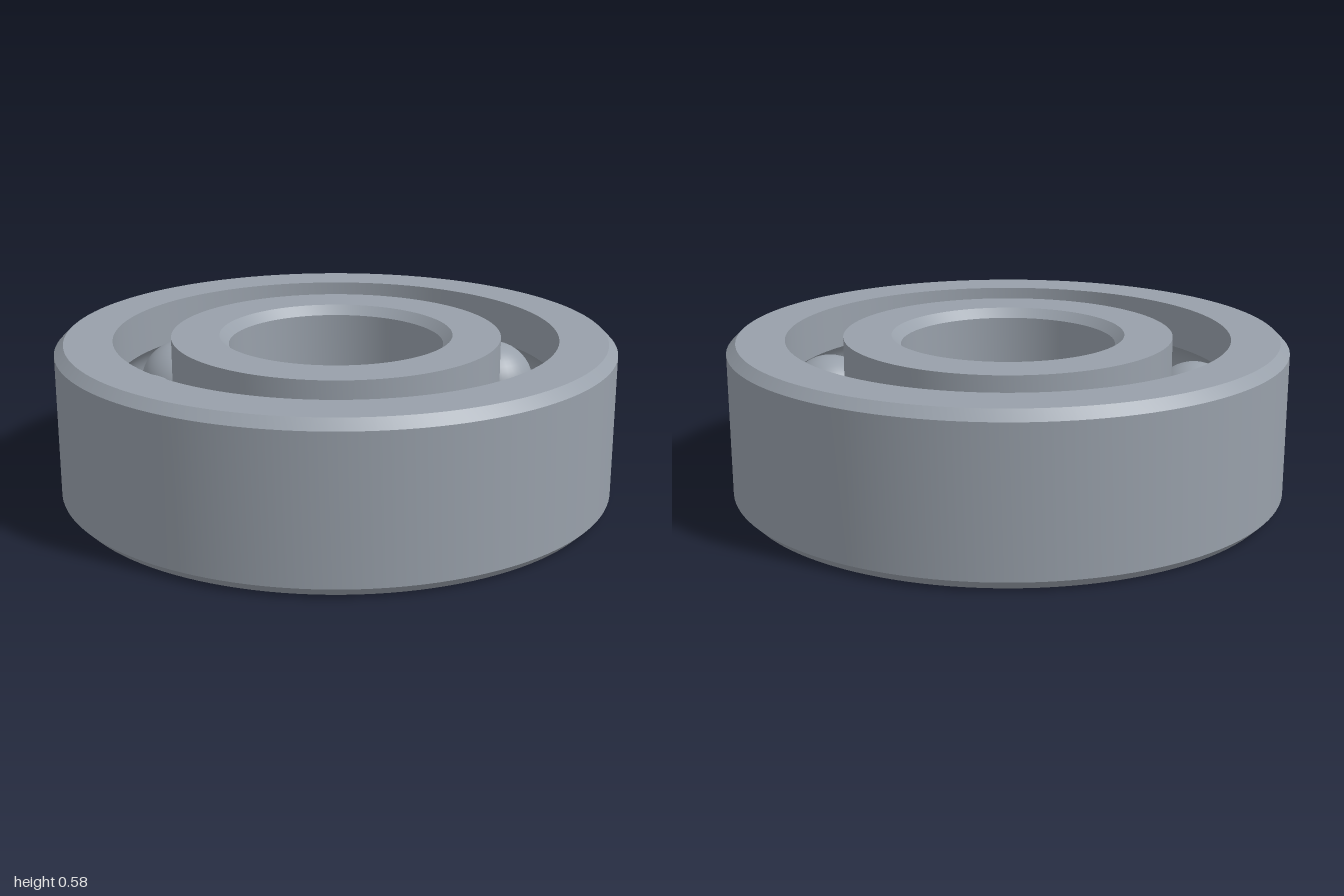
import * as THREE from 'three';
import { toCreasedNormals } from 'three/addons/utils/BufferGeometryUtils.js';

const HEIGHT = 0.577, MID = HEIGHT / 2, CHAMFER = 0.033;
const PITCH = 0.69, BALL_RADIUS = 0.16, GROOVE_RADIUS = 0.163;
const BALLS = 9, PHASE = -0.036;

// Raceway arc cut into a wall at radius `wall`; side +1 bulges outward, -1 inward.
// Both run so that the ring's solid side stays on the left of the profile.
function groove(wall, side) {
  const half = Math.acos(Math.abs(wall - PITCH) / GROOVE_RADIUS);
  const points = [];
  for (let i = 0; i <= 16; i++) {
    const a = half * (1 - i / 8) * side;
    points.push([PITCH + side * GROOVE_RADIUS * Math.cos(a), MID + GROOVE_RADIUS * Math.sin(a)]);
  }
  return points;
}

// Closed profile spun around the y axis, with sharp edges kept
function ring(name, profile, material) {
  const points = [...profile, profile[0]].map(([r, y]) => new THREE.Vector2(r, y));
  const mesh = new THREE.Mesh(toCreasedNormals(new THREE.LatheGeometry(points, 128), 0.5), material);
  mesh.name = name;
  return mesh;
}

export function createModel() {
  const group = new THREE.Group();
  group.name = 'ballBearing';
  const steel = new THREE.MeshStandardMaterial({ color: 0x98a0aa });
  steel.name = 'steel';

  // Outer ring: chamfered outside, raceway inside
  group.add(ring('outerRing', [
    [1 - CHAMFER, 0], [1, CHAMFER], [1, HEIGHT - CHAMFER], [1 - CHAMFER, HEIGHT],
    [0.795, HEIGHT], ...groove(0.795, 1), [0.795, 0],
  ], steel));

  // Inner ring: raceway outside, chamfered bore
  const bore = 0.385;
  group.add(ring('innerRing', [
    [0.59, 0], ...groove(0.59, -1), [0.59, HEIGHT],
    [bore + CHAMFER, HEIGHT], [bore, HEIGHT - CHAMFER], [bore, CHAMFER], [bore + CHAMFER, 0],
  ], steel));

  // Balls spaced evenly in the raceway
  const ballGeometry = new THREE.SphereGeometry(BALL_RADIUS, 40, 24);
  for (let i = 0; i < BALLS; i++) {
    const a = PHASE + (i / BALLS) * Math.PI * 2;
    const ball = new THREE.Mesh(ballGeometry, steel);
    ball.name = `ball${i + 1}`;
    ball.position.set(PITCH * Math.sin(a), MID, PITCH * Math.cos(a));
    group.add(ball);
  }
  return group;
}
